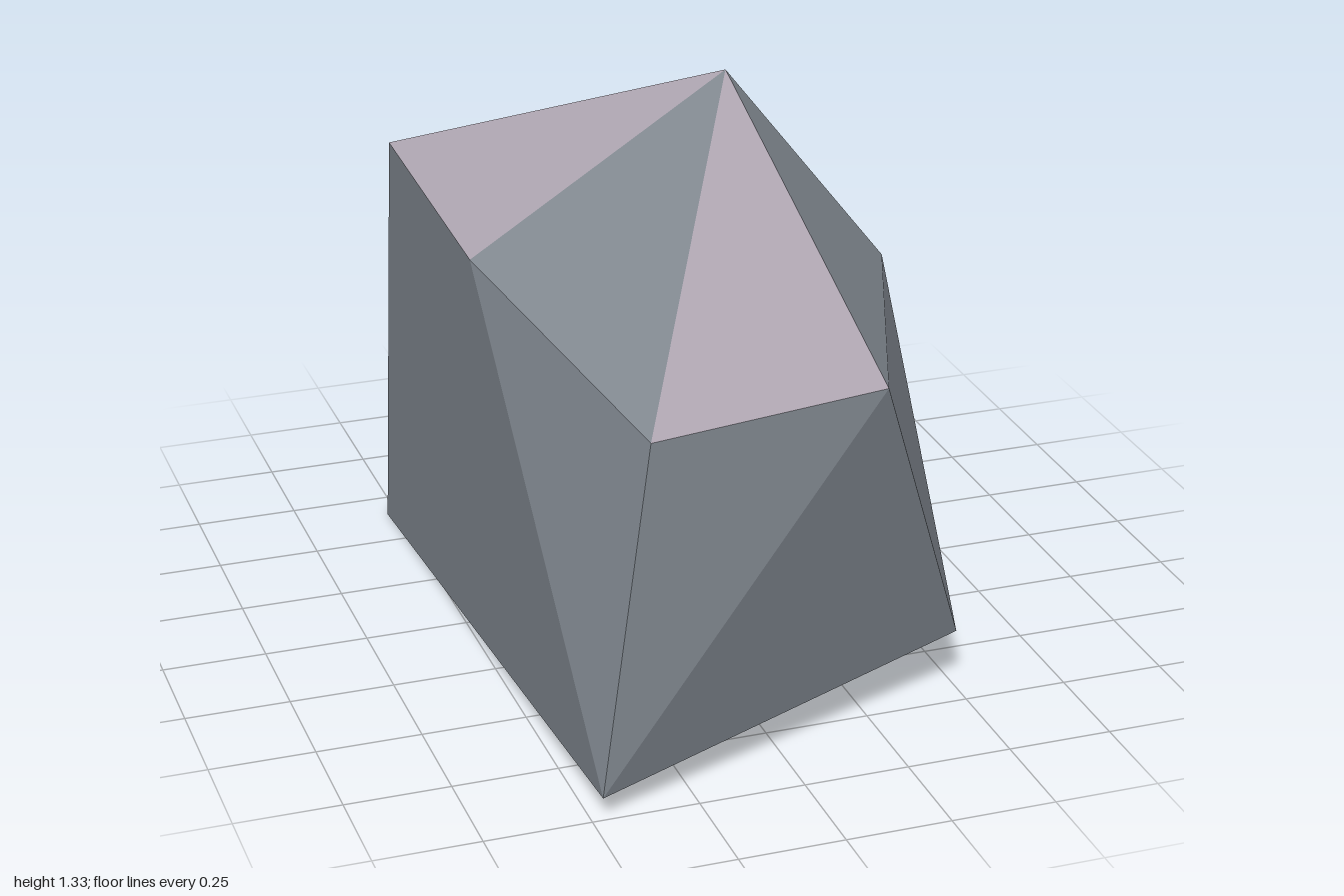
import * as THREE from 'three';

// Corners of the faceted boulder
const corners = {
  T: [0.18, 1.33, -0.05], // peak
  A: [-0.32, 0.31, -1.0], // back, right
  B: [0.28, 0.36, -0.88], // back, left
  C: [0.55, 0.85, 0.05], // left shoulder
  D: [0.595, 0.03, -0.17], // left foot
  E: [0.5, 0.145, 0.68], // front left foot
  F: [0.19, 0.93, 0.97], // front brow, left
  G: [-0.36, 0.89, 0.99], // front brow, right
  H: [-0.475, 0.055, 1.0], // front right foot
  I: [-0.58, 1.11, 0.39], // right shoulder, front
  J: [-0.6, 1.18, -0.22], // right shoulder, back
  K: [-0.525, 0, -0.65], // back right foot
};

// Facets by colour, three corner letters each
const paleFacets = ['TIJ', 'TFG', 'TAB', 'TBC'];
const slateFacets = [
  'TCF', 'TGI', 'TJA', // upper slopes
  'FGH', 'FHE', // front
  'CFE', 'CED', 'BCD', // left side
  'GIH', 'IHK', 'IJK', 'JKA', // right side
  'ABK', 'BDK', // back
  'HED', 'HDK', // underside
];

// Builds flat facets, turning each one to face away from the middle
function facetGeometry(facets) {
  const middle = new THREE.Vector3(0, 0.6, 0);
  const points = [];
  for (const facet of facets) {
    const [a, b, c] = [...facet].map((key) => new THREE.Vector3(...corners[key]));
    const normal = b.clone().sub(a).cross(c.clone().sub(a));
    const outward = normal.dot(a.clone().sub(middle)) > 0;
    points.push(...(outward ? [a, b, c] : [a, c, b]));
  }
  const geometry = new THREE.BufferGeometry().setFromPoints(points);
  geometry.computeVertexNormals();
  return geometry;
}

export function createModel() {
  const slate = new THREE.MeshStandardMaterial({ color: 0x7f868e });
  slate.name = 'slate grey';
  const pale = new THREE.MeshStandardMaterial({ color: 0xaba2ae });
  pale.name = 'pale mauve';

  const boulder = new THREE.Group();
  boulder.name = 'boulder';
  const parts = [
    ['slateFacets', slateFacets, slate],
    ['paleFacets', paleFacets, pale],
  ];
  for (const [name, facets, material] of parts) {
    const mesh = new THREE.Mesh(facetGeometry(facets), material);
    mesh.name = name;
    boulder.add(mesh);
  }
  return boulder;
}
